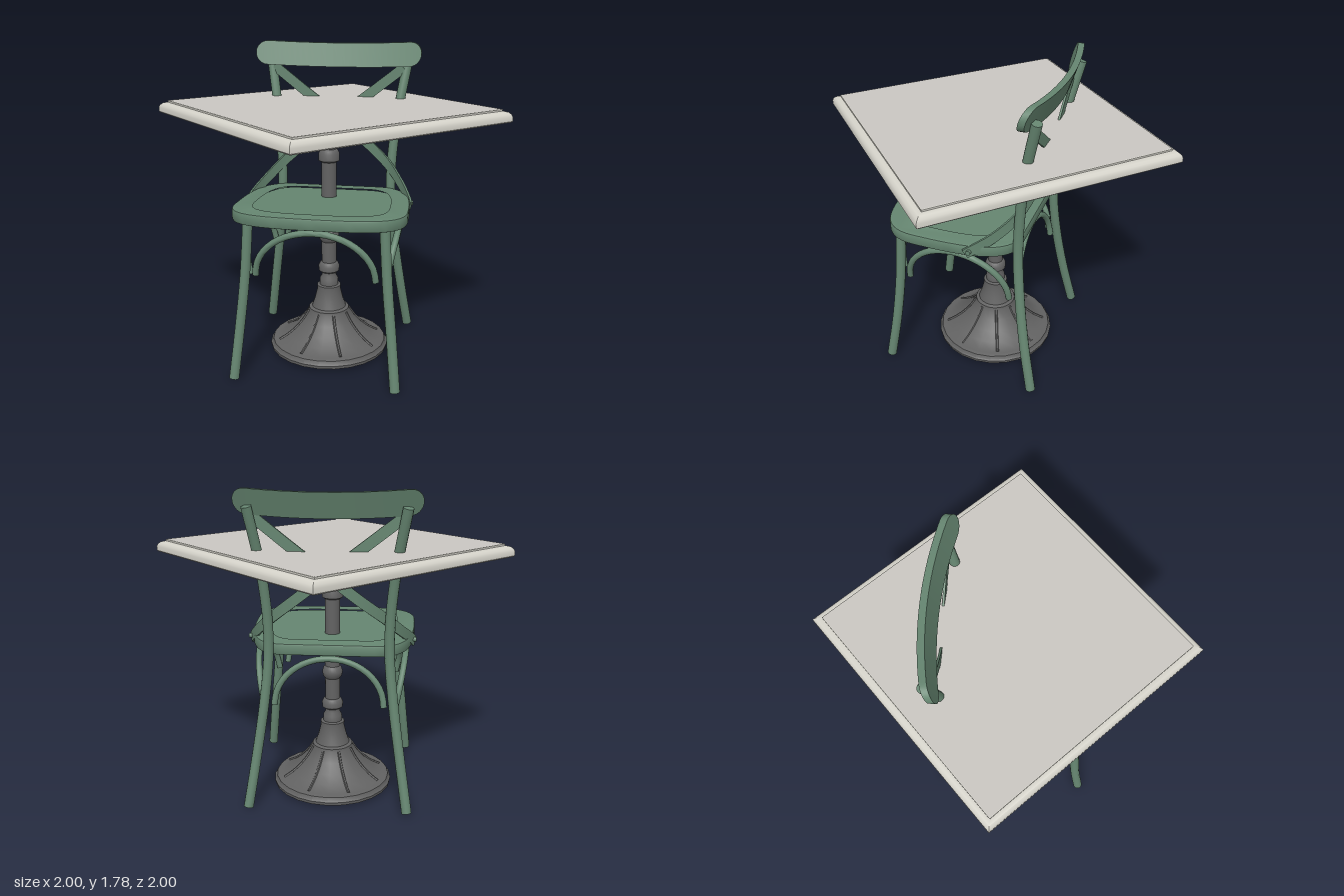
import * as THREE from 'three';
import { toCreasedNormals } from 'three/addons/utils/BufferGeometryUtils.js';

const V = (p) => new THREE.Vector3(...p);
const mat = (name, color, side = THREE.FrontSide) => {
  const m = new THREE.MeshStandardMaterial({ color, side });
  m.name = name;
  return m;
};

// Closed solid through a list of rings, each counter-clockwise about the path
function loft(rings) {
  const pos = [];
  const tri = (...ps) => ps.forEach((p) => pos.push(p.x, p.y, p.z));
  const n = rings[0].length, last = rings[rings.length - 1];
  for (let k = 0; k < rings.length - 1; k++) {
    const r = rings[k], s = rings[k + 1];
    for (let j = 0; j < n; j++) {
      const i = (j + 1) % n;
      tri(r[j], r[i], s[i]);
      tri(r[j], s[i], s[j]);
    }
  }
  for (let j = 1; j < n - 1; j++) {
    tri(rings[0][0], rings[0][j + 1], rings[0][j]);
    tri(last[0], last[j], last[j + 1]);
  }
  const g = new THREE.BufferGeometry();
  g.setAttribute('position', new THREE.Float32BufferAttribute(pos, 3));
  return toCreasedNormals(g, 0.6);
}

// Round bent-wood rod along a smooth path
function rod(points, radius, steps = 24, sides = 12) {
  const curve = new THREE.CatmullRomCurve3(points.map(V));
  const f = curve.computeFrenetFrames(steps);
  const rings = [];
  for (let k = 0; k <= steps; k++) {
    const c = curve.getPointAt(k / steps), ring = [];
    for (let j = 0; j < sides; j++) {
      const a = (j / sides) * Math.PI * 2;
      ring.push(c.clone().addScaledVector(f.normals[k], radius * Math.cos(a))
        .addScaledVector(f.binormals[k], radius * Math.sin(a)));
    }
    rings.push(ring);
  }
  return loft(rings);
}

// Flat strip that stays upright while it bends
function strip(points, halfWidth, halfThick, steps = 28) {
  const curve = new THREE.CatmullRomCurve3(points.map(V));
  const rings = [];
  for (let k = 0; k <= steps; k++) {
    const c = curve.getPointAt(k / steps), t = curve.getTangentAt(k / steps);
    const h = new THREE.Vector3(t.z, 0, -t.x).normalize();
    const w = t.clone().cross(h);
    rings.push([[1, -1], [1, 1], [-1, 1], [-1, -1]].map(([a, b]) =>
      c.clone().addScaledVector(h, a * halfThick).addScaledVector(w, b * halfWidth)));
  }
  return loft(rings);
}

// Points on half an ellipse running from end to end, bowing sideways at the top
function archPoints(place) {
  const pts = [];
  for (let i = 0; i <= 12; i++) {
    const a = (i / 12) * Math.PI;
    pts.push(place(Math.cos(a), Math.sin(a)));
  }
  return pts;
}

// Seat outline, scaled about its middle
function seatOutline(s, Type) {
  const c = 0.14, z = (v) => c + (v - c) * s, o = new Type();
  o.moveTo(0, z(0.52));
  for (const m of [1, -1]) {
    const x = (v) => v * s * m;
    if (m === 1) {
      o.bezierCurveTo(x(0.3), z(0.52), x(0.465), z(0.5), x(0.465), z(0.3));
      o.bezierCurveTo(x(0.465), z(0), x(0.44), z(-0.24), x(0.25), z(-0.24));
      o.lineTo(x(-0.25), z(-0.24));
    } else {
      o.bezierCurveTo(x(0.44), z(-0.24), x(0.465), z(0), x(0.465), z(0.3));
      o.bezierCurveTo(x(0.465), z(0.5), x(0.3), z(0.52), 0, z(0.52));
    }
  }
  return o;
}

// Lay an extruded outline flat with its top at the given height, tipped back
function seatSlab(shape, depth, top, bevel) {
  const g = new THREE.ExtrudeGeometry(shape, {
    depth: depth - 2 * bevel, bevelEnabled: bevel > 0, bevelSize: bevel,
    bevelThickness: bevel, bevelSegments: 2, curveSegments: 16,
  });
  g.rotateX(Math.PI / 2).translate(0, top - bevel, 0);
  const p = g.attributes.position;
  for (let i = 0; i < p.count; i++) p.setY(i, p.getY(i) + 0.027 * (p.getZ(i) - 0.14));
  return toCreasedNormals(g, 0.6);
}

export function createModel() {
  const model = new THREE.Group();
  model.name = 'tableAndChair';
  const green = mat('greenWood', 0x658570);
  const iron = mat('castIron', 0x626262, THREE.DoubleSide);
  const stone = mat('paleTop', 0xcac7c2);
  const rimMat = mat('paleRim', 0xd5d3ca);
  const table = new THREE.Group(), chair = new THREE.Group();
  table.name = 'table';
  chair.name = 'chair';
  model.add(table, chair);
  const add = (parent, name, geo, material) => {
    const m = new THREE.Mesh(geo, material);
    m.name = name;
    parent.add(m);
    return m;
  };
  const lathe = (pts, sides) =>
    new THREE.LatheGeometry(pts.map(([x, y]) => new THREE.Vector2(x, y)), sides);

  // Square table top, turned so a corner faces forward
  add(table, 'tableRim', toCreasedNormals(lathe([[0, 1.388], [0.99, 1.388], [1, 1.395], [1, 1.418],
    [0.992, 1.432], [0.975, 1.444], [0.95, 1.449], [0.943, 1.449], [0.943, 1.458], [0.938, 1.46]], 4), 0.6), rimMat);
  add(table, 'tablePanel', lathe([[0.938, 1.46], [0, 1.46]], 4), stone);

  // Pedestal: hollow bell foot, turned column and collars
  const bell = [[0.3, 0.062], [0.25, 0.09], [0.2, 0.13], [0.155, 0.18], [0.12, 0.235]];
  add(table, 'pedestal', toCreasedNormals(lathe([[0.31, 0.03], [0.325, 0.012], [0.347, 0.012], [0.35, 0.03],
    [0.342, 0.036], [0.335, 0.055], [0.315, 0.062], ...bell, [0.118, 0.25], [0.1, 0.258], [0.085, 0.3],
    [0.07, 0.36], [0.07, 0.39], [0.055, 0.395], [0.055, 0.43], [0.043, 0.45], [0.043, 0.47], [0.06, 0.482],
    [0.062, 0.51], [0.052, 0.53], [0.043, 0.535], [0.043, 0.66], [0.055, 0.675], [0.06, 0.7], [0.052, 0.725],
    [0.043, 0.735], [0.043, 1.135], [0.06, 1.145], [0.06, 1.185], [0.05, 1.205], [0.041, 1.21], [0.041, 1.275],
    [0.05, 1.285], [0.05, 1.3], [0.06, 1.32], [0.06, 1.365], [0.052, 1.39]], 24), 0.6), iron);
  const ribGeo = rod(bell.map(([r, y]) => [0, y, r]), 0.008, 10, 6);
  for (let i = 0; i < 8; i++) {
    add(table, 'bellRib', ribGeo, iron).rotation.y = (i + 0.5) * Math.PI / 4;
  }

  // Seat frame with a slightly sunken panel
  const frame = seatOutline(1, THREE.Shape);
  frame.holes.push(seatOutline(0.8, THREE.Path));
  add(chair, 'seatFrame', seatSlab(frame, 0.066, 0.945, 0.01), green);
  add(chair, 'seatPanel', seatSlab(seatOutline(0.83, THREE.Shape), 0.05, 0.937, 0), green);

  for (const s of [1, -1]) {
    // Legs, the rear ones rising into the back posts
    add(chair, 'frontLeg', rod([[s * 0.445, 0.004, 0.51], [s * 0.415, 0.3, 0.465],
      [s * 0.385, 0.6, 0.437], [s * 0.365, 0.9, 0.425]], 0.028), green);
    add(chair, 'rearLegAndPost', rod([[s * 0.445, 0.004, -0.378], [s * 0.4, 0.3, -0.317], [s * 0.358, 0.6, -0.272],
      [s * 0.332, 0.87, -0.25], [s * 0.333, 1.1, -0.257], [s * 0.36, 1.38, -0.289],
      [s * 0.41, 1.69, -0.355]], 0.028, 40), green);

    // Arched brace beneath each side of the seat
    add(chair, 'sideBrace', rod(archPoints((c, h) =>
      [s * (0.37 + 0.055 * h), 0.58 + 0.275 * h, 0.085 + 0.3 * c]), 0.018), green);

    // Crossed back straps, sweeping forward to the sides of the seat
    const dz = s * 0.007;
    const strap = add(chair, 'crossStrap', strip([[-0.385, 1.635, -0.32], [-0.2, 1.49, -0.325 + dz],
      [0, 1.335, -0.325 + dz], [0.18, 1.19, -0.3 + dz], [0.31, 1.08, -0.235], [0.4, 0.985, -0.135],
      [0.45, 0.925, -0.045], [0.468, 0.895, 0]], 0.029, 0.006), green);
    strap.scale.x = s;
    const bolt = add(chair, 'strapBolt', new THREE.CylinderGeometry(0.014, 0.014, 0.03, 12), green);
    bolt.rotation.z = Math.PI / 2;
    bolt.position.set(s * 0.465, 0.91, -0.02);
  }
  const pin = add(chair, 'crossBolt', new THREE.CylinderGeometry(0.016, 0.016, 0.045, 12), green);
  pin.rotation.x = Math.PI / 2;
  pin.position.set(0, 1.335, -0.325);

  // Arched braces beneath the front and rear of the seat
  add(chair, 'frontBrace', rod(archPoints((c, h) => [0.325 * c, 0.6 + 0.265 * h, 0.44 + 0.045 * h]), 0.018), green);
  add(chair, 'rearBrace', rod(archPoints((c, h) => [0.305 * c, 0.58 + 0.265 * h, -0.25 + 0.03 * h]), 0.018), green);

  // Curved top rail with rounded ends, leaning back
  const rings = [];
  for (let i = 0; i <= 40; i++) {
    const x = -0.487 * Math.cos((i / 40) * Math.PI), u = x / 0.487;
    const e = Math.max(0, Math.abs(x) - 0.42) / 0.0675;
    const h = 0.068 * Math.sqrt(Math.max(0.004, 1 - e * e));
    const y = 1.7 + 0.018 * u * u, z = -0.367 + 0.062 * u * u;
    rings.push([[-1, -1], [-1, 1], [1, 1], [1, -1]].map(([a, b]) =>
      new THREE.Vector3(x, y + b * h, z + a * 0.018 - 0.32 * b * h)));
  }
  add(chair, 'topRail', loft(rings), green);
  return model;
}
